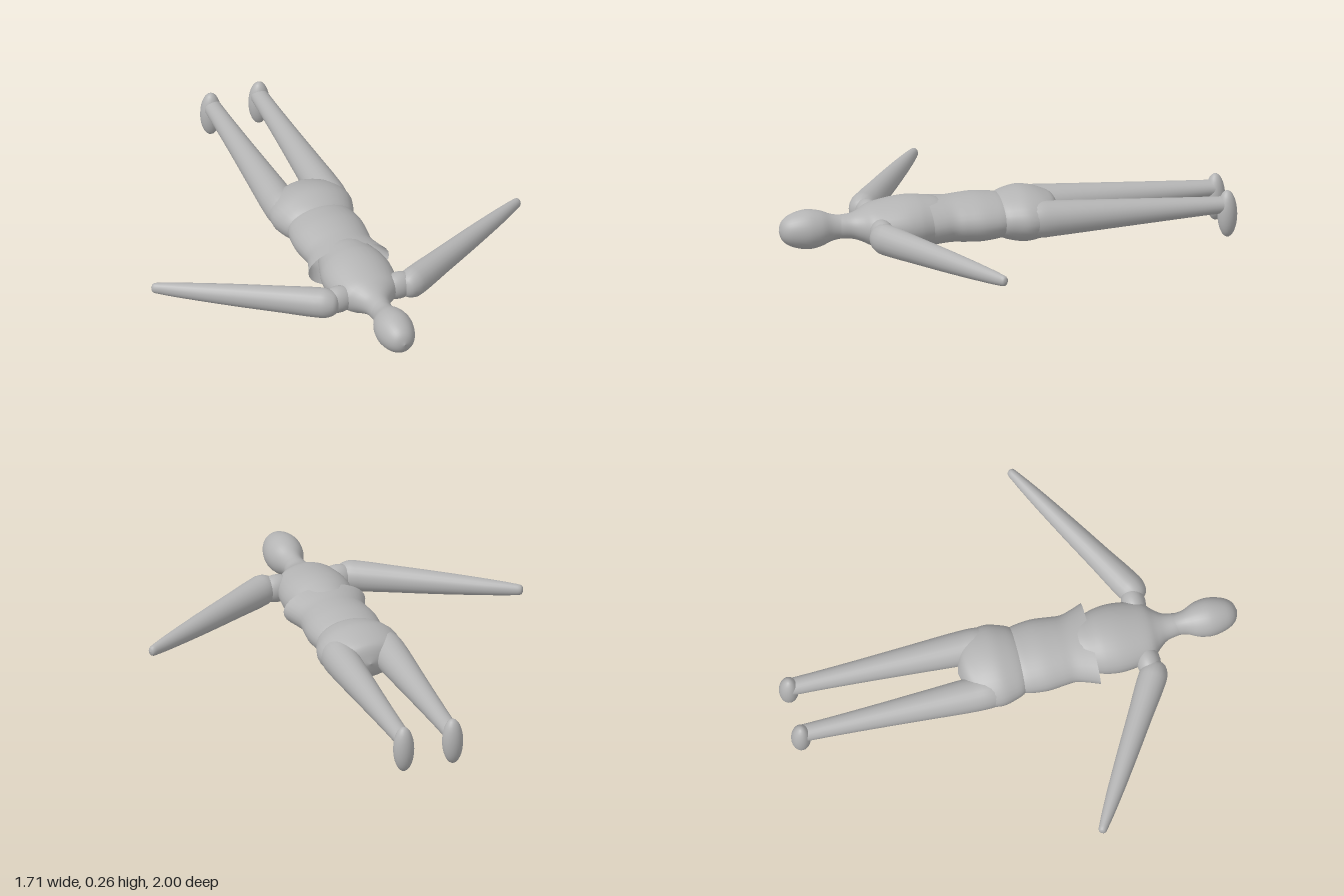
import * as THREE from 'three';

const grey = new THREE.MeshStandardMaterial({ color: 0xb4b4b4, side: THREE.DoubleSide });
grey.name = 'plain grey';

const MID_Y = 0.145; // height of the body axis

// Smooth elliptical body along z. Sections are [z, half width, half height], from high z to low z.
function loft(name, sections, sides = 32, steps = 4) {
  const curve = new THREE.CatmullRomCurve3(sections.map((s) => new THREE.Vector3(...s)));
  const rows = (sections.length - 1) * steps;
  const pos = [];
  const index = [];
  for (let i = 0; i <= rows; i++) {
    const p = curve.getPoint(i / rows);
    for (let j = 0; j < sides; j++) {
      const a = (j / sides) * Math.PI * 2;
      pos.push(Math.max(p.y, 0) * Math.cos(a), Math.max(p.z, 0) * Math.sin(a), p.x);
    }
  }
  for (let i = 0; i < rows; i++) {
    for (let j = 0; j < sides; j++) {
      const a = i * sides + j;
      const b = i * sides + ((j + 1) % sides);
      index.push(a, a + sides, b, b, a + sides, b + sides);
    }
  }
  const geo = new THREE.BufferGeometry();
  geo.setAttribute('position', new THREE.Float32BufferAttribute(pos, 3));
  geo.setIndex(index);
  geo.computeVertexNormals();
  const mesh = new THREE.Mesh(geo, grey);
  mesh.name = name;
  mesh.position.y = MID_Y;
  return mesh;
}

function ellipsoid(name, x, y, z, rx, ry, rz) {
  const geo = new THREE.SphereGeometry(1, 24, 16).scale(rx, ry, rz);
  const mesh = new THREE.Mesh(geo, grey);
  mesh.name = name;
  mesh.position.set(x, y, z);
  return mesh;
}

export function createModel() {
  const model = new THREE.Group();
  model.name = 'lyingFigure';

  // Head and neck
  model.add(loft('head', [
    [1.0, 0, 0], [0.985, 0.04, 0.042], [0.95, 0.066, 0.069], [0.88, 0.083, 0.087],
    [0.82, 0.075, 0.079], [0.77, 0.053, 0.06], [0.73, 0.048, 0.053], [0.68, 0.058, 0.055],
  ]));

  // Chest, its lower end tucked inside the abdomen
  model.add(loft('chest', [
    [0.74, 0.047, 0.052], [0.68, 0.06, 0.056], [0.64, 0.09, 0.068], [0.6, 0.13, 0.086],
    [0.54, 0.146, 0.1], [0.46, 0.155, 0.112], [0.4, 0.149, 0.113], [0.36, 0.138, 0.108],
    [0.3, 0.12, 0.097], [0.24, 0.1, 0.07],
  ]));

  // Abdomen, flaring into an open rim at the sides of the ribs
  model.add(loft('abdomen', [
    [0.352, 0.187, 0.097], [0.3, 0.167, 0.096], [0.25, 0.153, 0.096], [0.2, 0.157, 0.1],
    [0.13, 0.164, 0.103], [0.07, 0.16, 0.098], [0.03, 0.152, 0.092], [0, 0.14, 0.08],
  ]));

  // Hips, rounded off between the legs
  model.add(loft('hips', [
    [0.05, 0.13, 0.08], [0.02, 0.156, 0.097], [-0.02, 0.172, 0.109], [-0.07, 0.185, 0.116],
    [-0.12, 0.181, 0.109], [-0.17, 0.165, 0.092], [-0.21, 0.1, 0.07], [-0.235, 0, 0],
  ]));

  for (const side of [1, -1]) {
    const label = side > 0 ? 'left' : 'right';

    // Leg and upright foot
    const leg = loft(label + 'Leg', [
      [-0.04, 0.06, 0.06], [-0.12, 0.074, 0.08], [-0.2, 0.075, 0.077], [-0.4, 0.064, 0.066],
      [-0.65, 0.05, 0.052], [-0.85, 0.041, 0.041], [-0.95, 0.038, 0.036],
    ], 24);
    leg.position.x = side * 0.109;
    model.add(leg);
    model.add(ellipsoid(label + 'Foot', side * 0.112, 0.105, -0.957, 0.046, 0.105, 0.043));

    // Shoulder joint and tapering arm
    model.add(ellipsoid(label + 'Shoulder', side * 0.14, MID_Y, 0.575, 0.08, 0.062, 0.052));
    const arm = loft(label + 'Arm', [
      [0.765, 0, 0], [0.757, 0.016, 0.02], [0.72, 0.022, 0.027], [0.6, 0.033, 0.037],
      [0.4, 0.045, 0.05], [0.2, 0.054, 0.06], [0.05, 0.062, 0.067], [0, 0.06, 0.066],
      [-0.04, 0.042, 0.046], [-0.058, 0, 0],
    ], 20);
    arm.position.set(side * 0.195, MID_Y, 0.585);
    arm.rotation.y = Math.atan2(side * 0.645, -0.382);
    model.add(arm);
  }
  return model;
}
